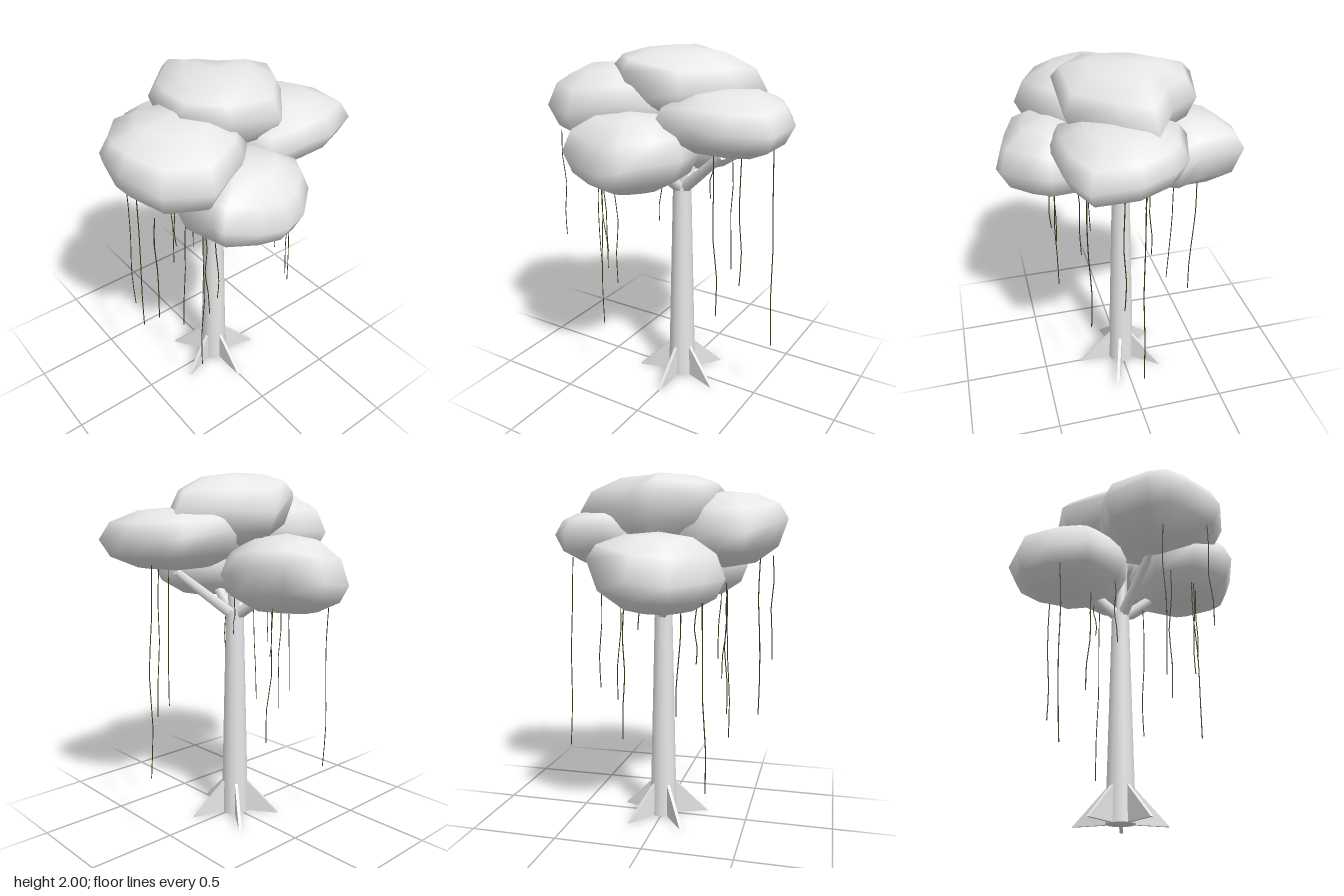
import * as THREE from 'three';

// Foliage clumps: top and bottom poles [x, y, z], and a rim of [x, y, z] running back -> left -> front -> right
const CLUMPS = {
  crownTop: {
    top: [0, 2.0, 0], bottom: [-0.03, 1.6, -0.05],
    rim: [[-0.07, 1.79, -0.47], [0.1, 1.8, -0.38], [0.328, 1.8, -0.17], [0.335, 1.89, 0.16], [0.165, 1.9, 0.325],
      [-0.06, 1.87, 0.305], [-0.19, 1.86, 0.27], [-0.39, 1.89, 0.05], [-0.39, 1.79, -0.07], [-0.22, 1.8, -0.21]],
  },
  crownFront: {
    top: [0.12, 1.905, 0.33], bottom: [0.13, 1.475, 0.33],
    rim: [[0, 1.7, -0.02], [0.25, 1.71, -0.02], [0.412, 1.73, 0.135], [0.515, 1.68, 0.38], [0.405, 1.69, 0.6],
      [0.19, 1.73, 0.675], [0.065, 1.75, 0.69], [-0.05, 1.73, 0.645], [-0.245, 1.67, 0.495], [-0.22, 1.68, 0.32], [-0.17, 1.7, 0.12]],
  },
  crownBack: {
    top: [0.1, 1.82, -0.32], bottom: [0.1, 1.48, -0.34],
    rim: [[0.07, 1.66, -0.69], [0.315, 1.65, -0.685], [0.398, 1.65, -0.475], [0.418, 1.67, -0.275], [0.388, 1.63, -0.05],
      [0.1, 1.64, 0.05], [-0.12, 1.65, -0.05], [-0.265, 1.7, -0.285], [-0.2, 1.67, -0.52], [-0.12, 1.66, -0.595]],
  },
  crownRight: {
    top: [-0.34, 1.68, 0.06], bottom: [-0.34, 1.25, 0.07],
    rim: [[-0.375, 1.52, -0.245], [-0.265, 1.48, -0.28], [-0.08, 1.46, -0.18], [0.02, 1.45, 0.05], [-0.05, 1.44, 0.28],
      [-0.23, 1.44, 0.378], [-0.295, 1.44, 0.403], [-0.5, 1.43, 0.32], [-0.665, 1.42, 0.19], [-0.68, 1.45, -0.02], [-0.61, 1.55, -0.24]],
  },
  crownLeft: {
    top: [0.36, 1.7, 0.1], bottom: [0.35, 1.28, 0.12],
    rim: [[0.42, 1.5, -0.25], [0.53, 1.5, -0.19], [0.652, 1.47, -0.045], [0.67, 1.44, 0.065], [0.637, 1.45, 0.2],
      [0.567, 1.5, 0.378], [0.51, 1.51, 0.4], [0.3, 1.5, 0.45], [0.1, 1.5, 0.32], [0.05, 1.48, 0.02], [0.18, 1.49, -0.22]],
  },
};

// Branch tips
const TIPS = [[-0.33, 1.42, 0.06], [0.33, 1.46, 0.06], [0.1, 1.52, 0.3], [0.13, 1.47, -0.32], [0.03, 1.68, -0.02]];

// Hanging vines: top x, y, z then bottom x, y, z
const VINES = [
  [-0.44, 1.33, 0.31, -0.41, 0.31, 0.33], [-0.41, 1.31, -0.11, -0.39, 0.57, -0.13],
  [-0.22, 1.29, 0.15, -0.235, 0.67, 0.13], [-0.1, 1.35, 0.21, -0.08, 0.94, 0.21],
  [-0.13, 1.35, -0.12, -0.12, 1.13, -0.12], [0.08, 1.53, -0.41, 0.085, 0.73, -0.42],
  [0.2, 1.4, 0.33, 0.175, 0.59, 0.35], [0.08, 1.53, 0.54, 0.07, 0.63, 0.55],
  [0.26, 1.51, -0.34, 0.265, 0.61, -0.37], [0.32, 1.54, 0.59, 0.32, 0.91, 0.6],
  [0.33, 1.36, 0.32, 0.335, 0.39, 0.34], [0.34, 1.38, 0.32, 0.34, 0.77, 0.29],
  [0.38, 1.38, 0.27, 0.37, 0.89, 0.26], [0.02, 1.53, -0.56, 0.02, 0.37, -0.6],
];

// Rounded lump lofted from pole to pole through its rim
function clumpGeometry({ top, bottom, rim }) {
  const pos = [], idx = [], n = rim.length;
  const levels = [-62, -32, 0, 32, 62].map(THREE.MathUtils.degToRad);
  pos.push(...bottom);
  for (const t of levels) {
    const pole = t < 0 ? bottom : top;
    const out = Math.pow(Math.cos(t), 0.9), rise = Math.abs(Math.sin(t));
    for (const [x, y, z] of rim) {
      pos.push(pole[0] + (x - pole[0]) * out, y + (pole[1] - y) * rise, pole[2] + (z - pole[2]) * out);
    }
  }
  pos.push(...top);
  const last = 1 + levels.length * n;
  for (let i = 0; i < n; i++) {
    const j = (i + 1) % n;
    idx.push(0, 1 + i, 1 + j);
    for (let r = 0; r < levels.length - 1; r++) {
      const a = 1 + r * n + i, c = 1 + r * n + j;
      idx.push(a, a + n, c, a + n, c + n, c);
    }
    idx.push(last - n + i, last, last - n + j);
  }
  const g = new THREE.BufferGeometry();
  g.setAttribute('position', new THREE.Float32BufferAttribute(pos, 3));
  g.setIndex(idx);
  g.computeVertexNormals();
  return g;
}

// Tapered rod between two points
function rod(from, to, r0, r1, material) {
  const a = new THREE.Vector3(...from), b = new THREE.Vector3(...to);
  const dir = b.clone().sub(a);
  const mesh = new THREE.Mesh(new THREE.CylinderGeometry(r1, r0, dir.length(), 6), material);
  mesh.position.copy(a).add(b).multiplyScalar(0.5);
  mesh.quaternion.setFromUnitVectors(new THREE.Vector3(0, 1, 0), dir.normalize());
  return mesh;
}

export function createModel() {
  const tree = new THREE.Group();
  tree.name = 'tree';
  const pale = new THREE.MeshStandardMaterial({ color: 0xe7e7e7 });
  pale.name = 'pale grey';
  const dark = new THREE.MeshStandardMaterial({ color: 0x3a3a1c });
  dark.name = 'dark olive';
  const add = (mesh, name) => {
    mesh.name = name;
    tree.add(mesh);
  };

  // Trunk
  const trunk = new THREE.Mesh(new THREE.CylinderGeometry(0.052, 0.082, 1.24, 12), pale);
  trunk.position.y = 0.62;
  add(trunk, 'trunk');

  // Five buttress roots
  const fin = new THREE.Shape([[0.04, 0], [0.27, 0], [0.075, 0.195], [0.04, 0.195]].map((p) => new THREE.Vector2(...p)));
  const finGeometry = new THREE.ExtrudeGeometry(fin, { depth: 0.018, bevelEnabled: false }).translate(0, 0, -0.009);
  for (let i = 0; i < 5; i++) {
    const root = new THREE.Mesh(finGeometry, pale);
    root.rotation.y = (i * Math.PI * 2) / 5;
    add(root, 'buttressRoot');
  }

  // Branches
  for (const tip of TIPS) add(rod([0, 1.2, 0], tip, 0.035, 0.024, pale), 'branch');

  // Foliage
  for (const [name, clump] of Object.entries(CLUMPS)) add(new THREE.Mesh(clumpGeometry(clump), pale), name);

  // Vines with a slight kink along their length
  VINES.forEach((v, k) => {
    const a = new THREE.Vector3(...v.slice(0, 3)), b = new THREE.Vector3(...v.slice(3));
    const points = [0, 0.25, 0.5, 0.75, 1].map((t, i) => {
      const p = a.clone().lerp(b, t), sway = 0.01 * Math.sin(Math.PI * t);
      return p.add(new THREE.Vector3(Math.sin(k * 2.3 + i * 1.7) * sway, 0, Math.cos(k * 1.9 + i * 2.1) * sway));
    });
    const path = new THREE.CatmullRomCurve3(points);
    add(new THREE.Mesh(new THREE.TubeGeometry(path, 8, 0.003, 4), dark), 'vine');
  });

  return tree;
}
